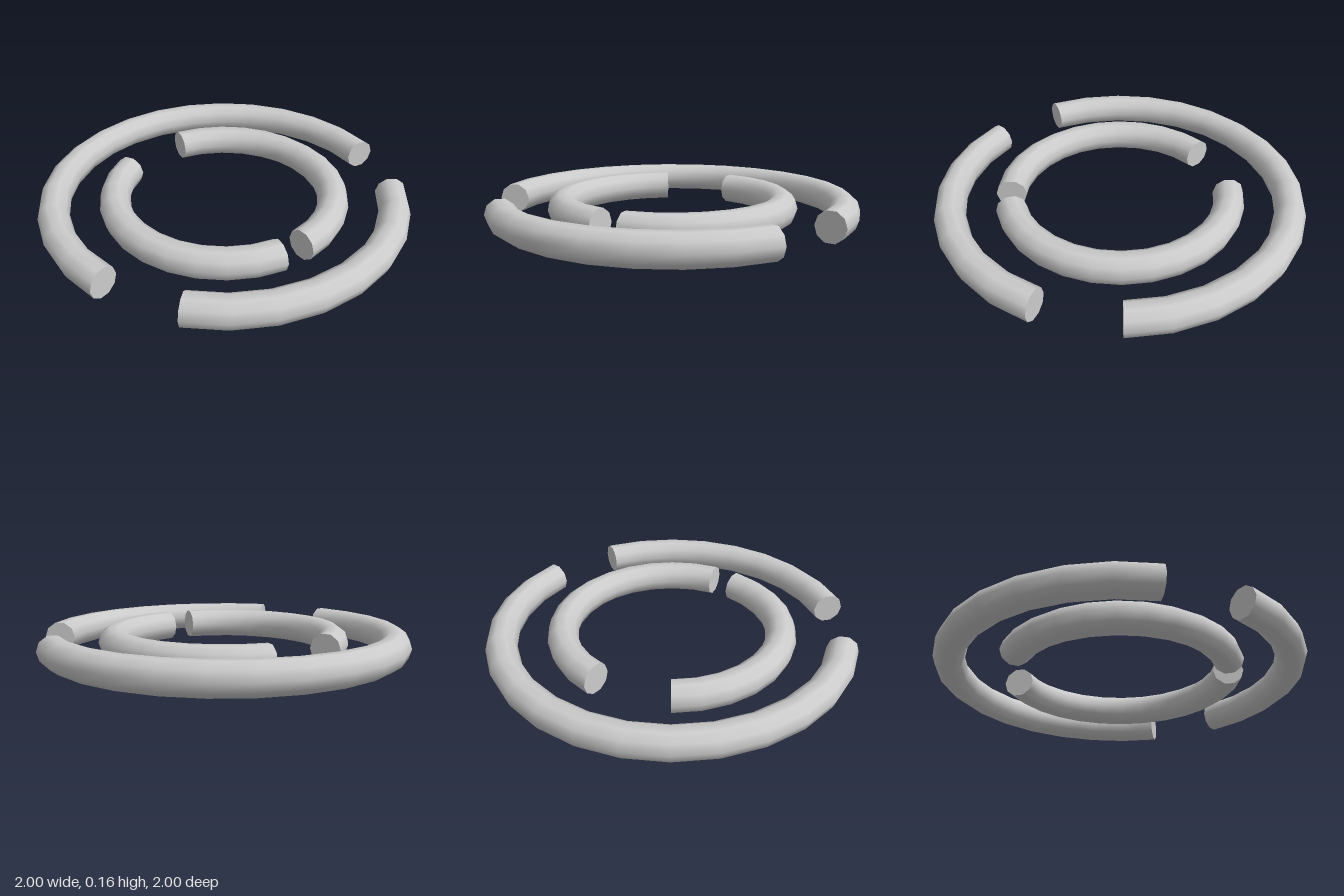
import * as THREE from 'three';
import { mergeGeometries } from 'three/addons/utils/BufferGeometryUtils.js';

const STEPS = 28;            // segments in a full circle
const STEP = (Math.PI * 2) / STEPS;
const SIDES = 10;            // sides of the tube
const TUBE = 0.083;

// Closed ring segment lying flat; start and count are in circle steps from +x towards +z
function ringArc(name, radius, start, count, material) {
  const arc = count * STEP;
  const tube = new THREE.TorusGeometry(radius, TUBE, SIDES, count, arc);
  const startCap = new THREE.CircleGeometry(TUBE, SIDES).rotateX(Math.PI / 2).translate(radius, 0, 0);
  const endCap = new THREE.CircleGeometry(TUBE, SIDES).rotateX(-Math.PI / 2).translate(radius, 0, 0).rotateZ(arc);
  const geometry = mergeGeometries([tube, startCap, endCap]);
  geometry.rotateZ(start * STEP).rotateX(Math.PI / 2);
  geometry.translate(0, TUBE * Math.sin(Math.PI * 0.4), 0); // rest on the flat bottom side
  const mesh = new THREE.Mesh(geometry, material);
  mesh.name = name;
  return mesh;
}

export function createModel() {
  const group = new THREE.Group();
  group.name = 'brokenRings';
  const material = new THREE.MeshStandardMaterial({ color: 0xcccccc });
  const outer = 1 - TUBE;
  const inner = 0.594;

  group.add(
    ringArc('outerLongArc', outer, 7, 16, material),
    ringArc('outerShortArc', outer, -3, 8, material),
    ringArc('innerBackArc', inner, -12, 13, material),
    ringArc('innerFrontArc', inner, 2, 11, material),
  );
  return group;
}
